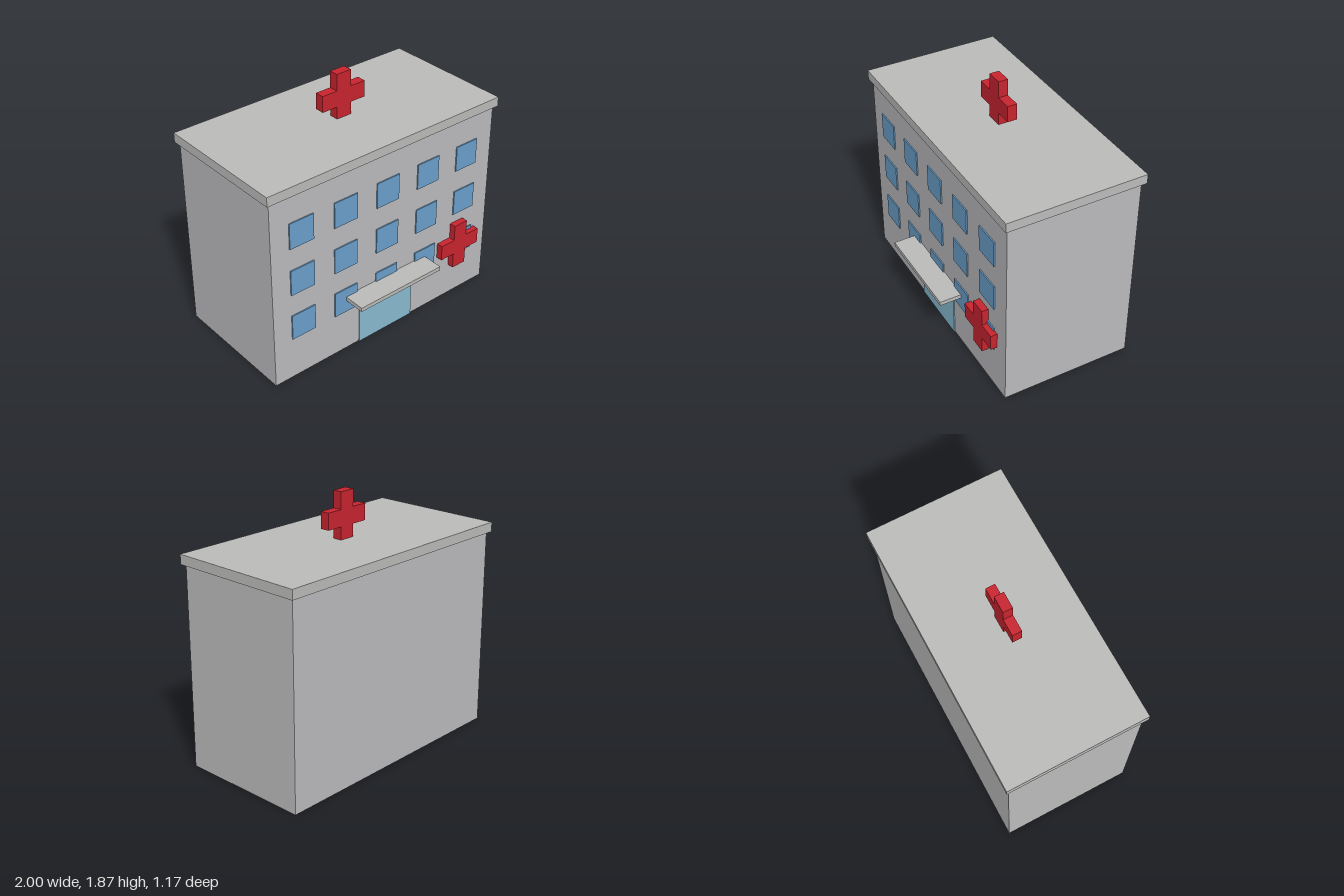
import * as THREE from 'three';

const mat = (name, color) => {
  const m = new THREE.MeshStandardMaterial({ color });
  m.name = name;
  return m;
};

export function createModel() {
  const wall = mat('wall grey', 0xbbbbbd);
  const trim = mat('roof grey', 0xbbbcba);
  const glass = mat('window blue', 0x6a9fcb);
  const doorGlass = mat('door pale blue', 0x88bbd0);
  const red = mat('cross red', 0xc8242f);

  const model = new THREE.Group();
  model.name = 'hospital';

  // Box given by its limits on each axis
  const box = (name, material, [x0, x1], [y0, y1], [z0, z1]) => {
    const mesh = new THREE.Mesh(new THREE.BoxGeometry(x1 - x0, y1 - y0, z1 - z0), material);
    mesh.position.set((x0 + x1) / 2, (y0 + y1) / 2, (z0 + z1) / 2);
    mesh.name = name;
    model.add(mesh);
  };

  // Building and overhanging roof slab
  box('building', wall, [-0.975, 0.975], [0, 1.465], [-0.56, 0.415]);
  box('roof', trim, [-1, 1], [1.465, 1.535], [-0.585, 0.439]);

  // Entrance door and canopy
  box('door', doorGlass, [-0.244, 0.244], [0, 0.396], [0.412, 0.4235]);
  box('canopy', trim, [-0.366, 0.366], [0.426, 0.457], [0.41, 0.585]);

  // Three rows of five windows
  const half = 0.0975;
  for (let row = 0; row < 3; row++) {
    for (let col = -2; col <= 2; col++) {
      const x = col * 0.3655, y = 0.43 + row * 0.366;
      box('window', glass, [x - half, x + half], [y - half, y + half], [0.416, 0.425]);
    }
  }

  // Solid plus-shaped signs
  const a = 0.06, b = 0.182, depth = 0.07;
  const outline = [[-a, -b], [a, -b], [a, -a], [b, -a], [b, a], [a, a],
    [a, b], [-a, b], [-a, a], [-b, a], [-b, -a], [-a, -a]];
  const shape = new THREE.Shape(outline.map(([x, y]) => new THREE.Vector2(x, y)));
  const crossGeometry = new THREE.ExtrudeGeometry(shape, { depth, bevelEnabled: false });
  crossGeometry.translate(0, 0, -depth / 2);
  const addCross = (name, x, y, z) => {
    const mesh = new THREE.Mesh(crossGeometry, red);
    mesh.position.set(x, y, z);
    mesh.name = name;
    model.add(mesh);
  };
  addCross('roofCross', 0, 1.686, -0.072);
  addCross('wallCross', 0.68, 0.442, 0.429);

  return model;
}
